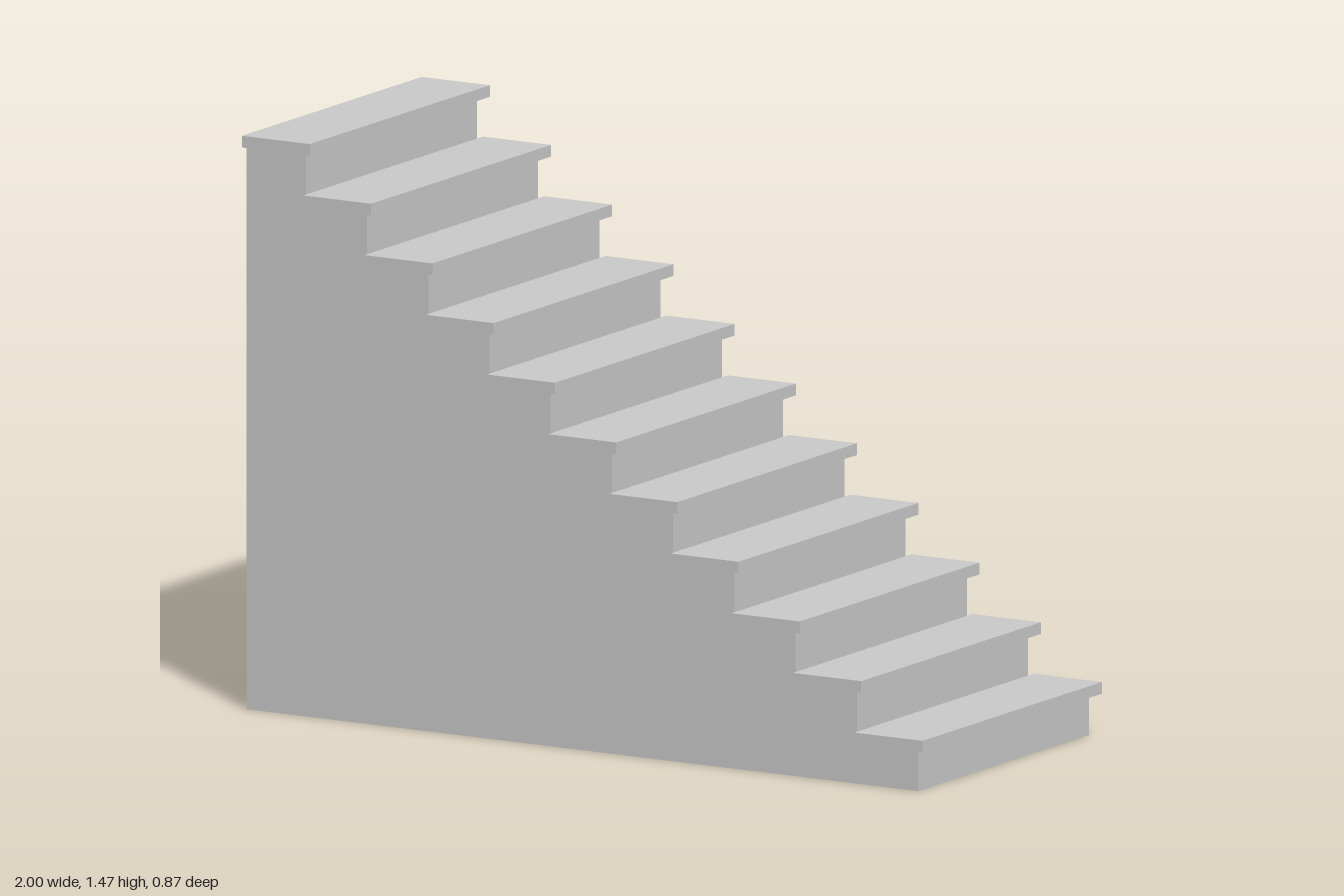
import * as THREE from 'three';

const STEPS = 11;
const RUN = 0.18, RISE = 0.1337;       // spacing of the steps
const FRONT = 0.975, FIRST = 0.105;    // first riser position and height
const BODY_DEPTH = 0.824;
const TREAD = { width: 0.2, height: 0.03, depth: 0.866 };

export function createModel() {
  const group = new THREE.Group();
  group.name = 'staircase';
  const material = new THREE.MeshStandardMaterial({ color: 0xcccccc, flatShading: true });

  // Solid stepped body, extruded across the width of the stairs
  const profile = new THREE.Shape();
  profile.moveTo(-1, 0);
  profile.lineTo(FRONT, 0);
  for (let i = 0; i < STEPS; i++) {
    const y = FIRST + i * RISE;
    profile.lineTo(FRONT - i * RUN, y);
    profile.lineTo(i < STEPS - 1 ? FRONT - (i + 1) * RUN : -1, y);
  }
  profile.closePath();
  const bodyGeometry = new THREE.ExtrudeGeometry(profile, { depth: BODY_DEPTH, bevelEnabled: false });
  bodyGeometry.translate(0, 0, -BODY_DEPTH / 2);
  const body = new THREE.Mesh(bodyGeometry, material);
  body.name = 'steppedBody';
  group.add(body);

  // Overhanging treads
  const treadGeometry = new THREE.BoxGeometry(TREAD.width, TREAD.height, TREAD.depth);
  for (let i = 0; i < STEPS; i++) {
    const tread = new THREE.Mesh(treadGeometry, material);
    tread.name = `tread${i + 1}`;
    tread.position.set(1 - TREAD.width / 2 - i * RUN, FIRST + i * RISE + TREAD.height / 2, 0);
    group.add(tread);
  }
  return group;
}
